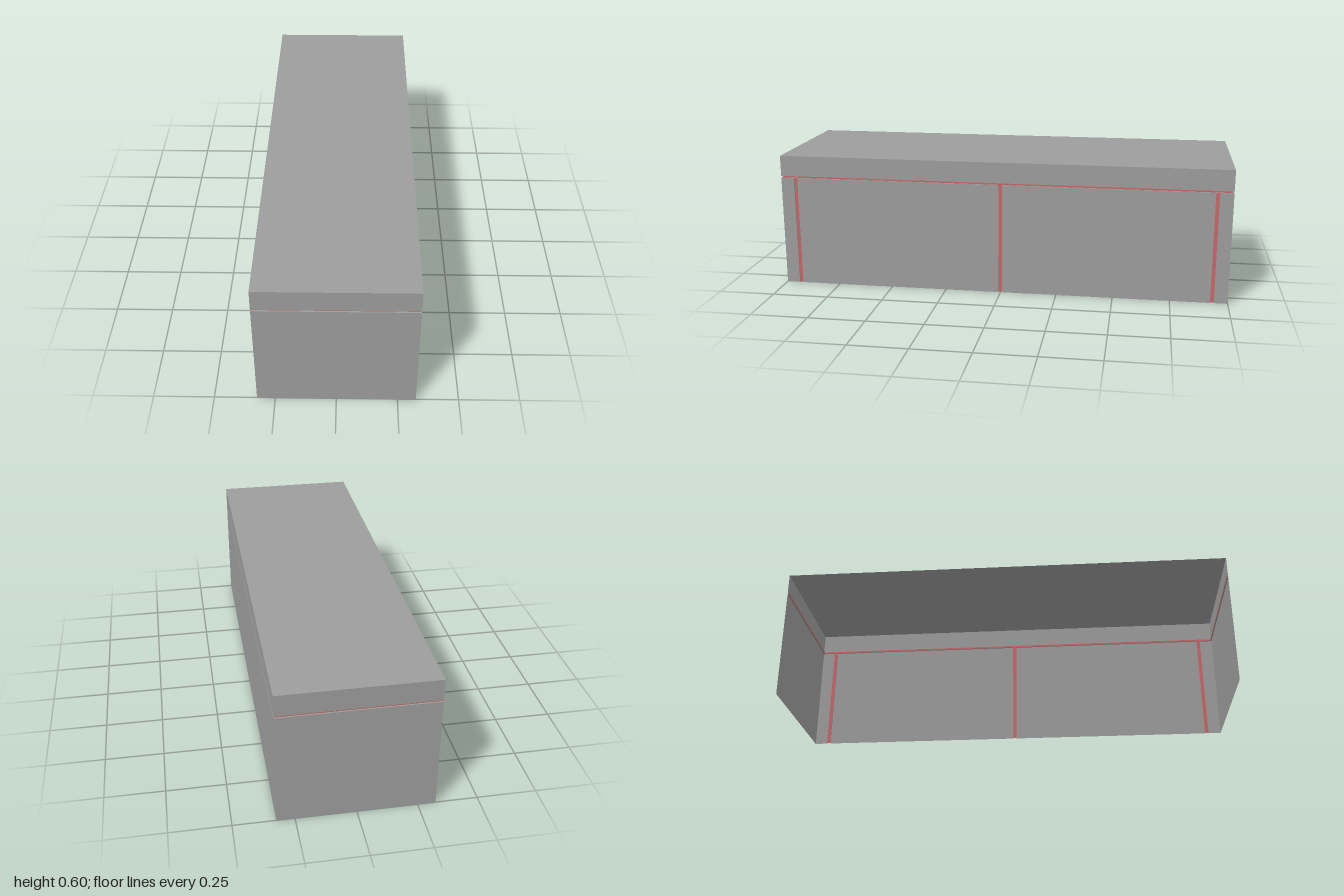
import * as THREE from 'three';

const W = 0.325, L = 1, TOP = 0.595;      // half width, half length, height
const GAP_LOW = 0.495, GAP_HIGH = 0.503;  // horizontal shadow gap
const D = 0.006, HALF = 0.008;            // reveal depth, half width of upright reveals
const REVEALS = [0.933, 0, -0.933];

const grey = new THREE.MeshStandardMaterial({ color: 0x9d9d9d, side: THREE.DoubleSide });
const red = new THREE.MeshStandardMaterial({ color: 0xcc6666, side: THREE.DoubleSide });

export function createModel() {
  const model = new THREE.Group();

  const add = (parent, name, geometry, material) => {
    const mesh = new THREE.Mesh(geometry, material);
    mesh.name = name;
    parent.add(mesh);
    return mesh;
  };

  // upright sheets along a plan path of [x, z] points, facing outward
  const wall = (name, path, y0, y1, material) => {
    const group = new THREE.Group();
    group.name = name;
    for (let i = 0; i < path.length - 1; i++) {
      const [ax, az] = path[i], [bx, bz] = path[i + 1];
      const sheet = add(group, name + 'Sheet', new THREE.PlaneGeometry(Math.hypot(bx - ax, bz - az), y1 - y0), material);
      sheet.position.set((ax + bx) / 2, (y0 + y1) / 2, (az + bz) / 2);
      sheet.rotation.y = Math.atan2(az - bz, bx - ax);
    }
    model.add(group);
  };

  // level sheet from a plan outline
  const level = (name, outline, y, faceUp) => {
    const shape = new THREE.Shape(outline.map(([x, z]) => new THREE.Vector2(x, faceUp ? -z : z)));
    const mesh = add(model, name, new THREE.ShapeGeometry(shape), grey);
    mesh.rotation.x = faceUp ? -Math.PI / 2 : Math.PI / 2;
    mesh.position.y = y;
  };

  // the plan is a U, open on the -x side
  const outer = [[-W, L], [W, L], [W, -L], [-W, -L]];
  const inner = [[-W, L - D], [W - D, L - D], [W - D, -L + D], [-W, -L + D]];

  // top slab with its apron
  level('top', outer, TOP, true);
  wall('apron', outer, GAP_HIGH, TOP, grey);

  // recessed shadow gap below the apron
  const rim = [...outer, ...[...inner].reverse()];
  level('gapUpperLedge', rim, GAP_HIGH, false);
  level('gapLowerLedge', rim, GAP_LOW, true);
  wall('gapStrip', inner, GAP_LOW, GAP_HIGH, red);

  // end panels wrap the corners; long side is split by upright reveals
  let run = outer.slice(0, 2);
  REVEALS.forEach((z) => {
    run.push([W, z + HALF], [W - D, z + HALF]);
    wall('panel', run, 0, GAP_LOW, grey);
    wall('uprightReveal', [[W - D, z + HALF], [W - D, z - HALF]], 0, GAP_LOW, red);
    run = [[W - D, z - HALF], [W, z - HALF]];
  });
  wall('panel', [...run, ...outer.slice(2)], 0, GAP_LOW, grey);

  return model;
}
